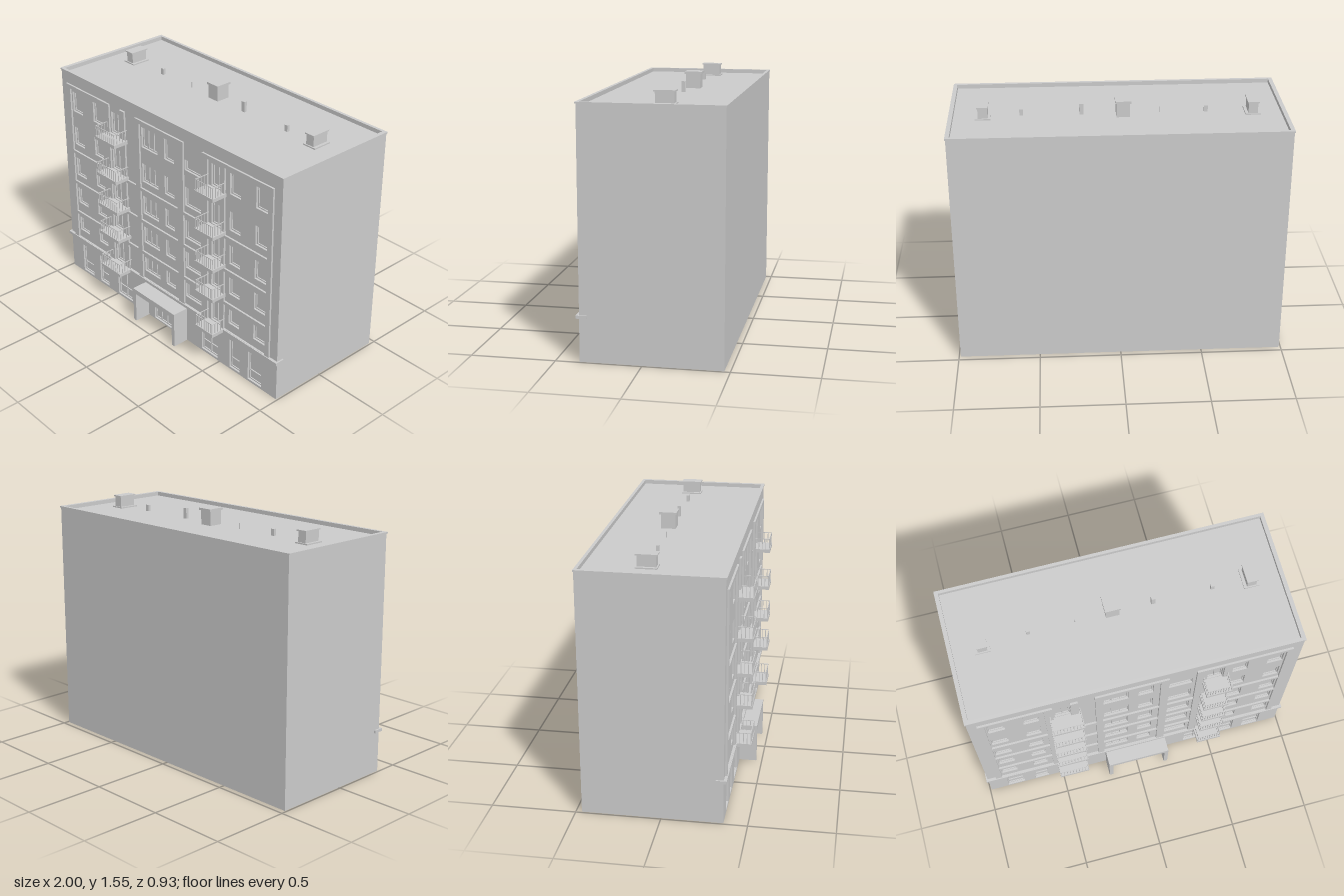
import * as THREE from 'three';

const material = new THREE.MeshStandardMaterial({ color: 0xcccccc, flatShading: true });

function add(parent, name, geometry) {
  const mesh = new THREE.Mesh(geometry, material);
  mesh.name = name;
  parent.add(mesh);
  return mesh;
}

// Box given by its limits on each axis
function box(parent, name, [x0, x1], [y0, y1], [z0, z1]) {
  const mesh = add(parent, name, new THREE.BoxGeometry(x1 - x0, y1 - y0, z1 - z0));
  mesh.position.set((x0 + x1) / 2, (y0 + y1) / 2, (z0 + z1) / 2);
  return mesh;
}

function rectPath(path, [x0, x1, y0, y1]) {
  path.moveTo(x0, y0);
  path.lineTo(x1, y0);
  path.lineTo(x1, y1);
  path.lineTo(x0, y1);
  path.closePath();
  return path;
}

// Upright rectangular plate with rectangular holes, rects are [x0, x1, y0, y1]
function plate(parent, name, rect, holes, z0, z1) {
  const shape = rectPath(new THREE.Shape(), rect);
  shape.holes = holes.map((h) => rectPath(new THREE.Path(), h));
  const geometry = new THREE.ExtrudeGeometry(shape, { depth: z1 - z0, bevelEnabled: false });
  geometry.translate(0, 0, z0);
  return add(parent, name, geometry);
}

// Depths of the facade layers
const GLASS = 0.34, WALL = 0.36, RAISED = 0.372;

// Window sills and heads, balcony slab tops and panel rows, from the lowest floor up
const windowRows = [[0.33, 0.43], [0.54, 0.655], [0.75, 0.875], [0.975, 1.1], [1.21, 1.345]];
const slabTops = [0.275, 0.525, 0.73, 0.95, 1.2];
const panelRows = [[0.275, 0.455], [0.475, 0.685], [0.705, 0.91], [0.93, 1.365]];
const balconies = [
  { x: [-0.525, -0.335], door: [-0.49, -0.4] },
  { x: [0.395, 0.55], door: [0.425, 0.515] },
];

function listOpenings() {
  const openings = [];
  const columns = [
    [-0.885, -0.785, 0], [-0.675, -0.585, 0], [-0.2, -0.05, 2], [0.01, 0.1, 0],
    [0.195, 0.335, 1], [0.58, 0.67, 0], [0.79, 0.885, 0],
  ];
  windowRows.forEach(([y0, y1], floor) => {
    for (const [x0, x1, bars] of columns) {
      const head = floor === 4 && bars === 1 ? 1.28 : y1;
      openings.push({ rect: [x0, x1, y0, head], bars: bars === 2 ? 2 : 0 });
    }
    for (const { door } of balconies) {
      openings.push({ rect: [...door, slabTops[floor] + 0.005, y1], bars: 1 });
    }
  });
  // Shop windows and entrance
  const ground = [
    [-0.87, -0.76], [-0.685, -0.595], [-0.49, -0.345],
    [0.34, 0.485], [0.59, 0.68], [0.75, 0.865],
  ];
  for (const [x0, x1] of ground) {
    openings.push({ rect: [x0, x1, 0.015, 0.215], bars: x1 - x0 > 0.13 ? 1 : 0, transom: 0.08 });
  }
  openings.push({ rect: [-0.115, 0.1, 0.008, 0.195], bars: 3 });
  return openings;
}

function buildWindow({ rect: [x0, x1, y0, y1], bars, transom }) {
  const group = new THREE.Group();
  group.name = 'windowFrame';
  const t = 0.007, z = GLASS + 0.007;
  plate(group, 'frame', [x0, x1, y0, y1], [[x0 + t, x1 - t, y0 + t, y1 - t]], GLASS - 0.001, z);
  for (let i = 1; i <= bars; i++) {
    const x = x0 + ((x1 - x0) * i) / (bars + 1);
    box(group, 'mullion', [x - 0.003, x + 0.003], [y0 + t, y1 - t], [GLASS - 0.001, z]);
  }
  if (transom) box(group, 'transom', [x0 + t, x1 - t], [transom - 0.003, transom + 0.003], [GLASS - 0.001, z]);
  return group;
}

function buildBalcony([x0, x1], top) {
  const group = new THREE.Group();
  group.name = 'balcony';
  const front = 0.46, rail = top + 0.07, r = 0.002;
  box(group, 'slab', [x0, x1], [top - 0.022, top], [WALL, 0.465]);
  const bar = (x, z) => box(group, 'baluster', [x - r, x + r], [top, rail], [z - r, z + r]);
  const left = x0 + 0.006, right = x1 - 0.006;
  const count = 9;
  for (let i = 0; i <= count; i++) bar(left + ((right - left) * i) / count, front);
  for (const x of [left, right]) {
    for (let i = 0; i < 4; i++) bar(x, 0.372 + i * 0.022);
    box(group, 'sideRail', [x - r, x + r], [rail - 0.004, rail], [WALL, front]);
  }
  box(group, 'frontRail', [left, right], [rail - 0.004, rail], [front - r, front + r]);
  return group;
}

// Flat ring around the roof
function roofRing(parent, name, outer, inner, y0, y1) {
  const mesh = plate(parent, name, outer, [inner], y0, y1);
  mesh.geometry.rotateX(-Math.PI / 2);
}

function buildRoof() {
  const roof = new THREE.Group();
  roof.name = 'roof';
  // Ring rects are [x0, x1, -z0, -z1]
  roofRing(roof, 'parapet', [-0.99, 0.99, -0.36, 0.465], [-0.97, 0.97, -0.345, 0.45], 1.45, 1.465);
  roofRing(roof, 'coping', [-0.995, 0.995, -0.366, 0.469], [-0.97, 0.97, -0.345, 0.45], 1.465, 1.475);
  // Stair head in the middle
  box(roof, 'stairHead', [-0.07, 0.01], [1.45, 1.538], [-0.155, -0.065]);
  box(roof, 'stairHeadCap', [-0.077, 0.017], [1.538, 1.552], [-0.165, -0.058]);
  // Ventilation housings near both ends
  for (const x of [-0.8, 0.795]) {
    box(roof, 'ventBase', [x - 0.046, x + 0.046], [1.45, 1.458], [-0.16, -0.035]);
    box(roof, 'ventHousing', [x - 0.028, x + 0.028], [1.458, 1.522], [-0.152, -0.043]);
    box(roof, 'ventCap', [x - 0.034, x + 0.034], [1.522, 1.53], [-0.16, -0.035]);
  }
  // Small flues
  for (const [x, w, top] of [[-0.525, 0.011, 1.49], [0.215, 0.012, 1.515], [0.57, 0.011, 1.49], [-0.25, 0.003, 1.485]]) {
    box(roof, 'flue', [x - w, x + w], [1.45, top], [-0.09 - w * 0.8, -0.09 + w * 0.8]);
  }
  return roof;
}

function buildRaisedFrames() {
  const group = new THREE.Group();
  group.name = 'raisedFrames';
  const y0 = 0.265, top = 1.39;
  const panels = (x0, x1) => panelRows.map(([a, b]) => [x0, x1, a, b]);
  plate(group, 'leftFrame', [-0.935, -0.5, y0, top], panels(-0.895, -0.55), WALL, RAISED);
  plate(group, 'balconyPier', [-0.395, -0.35, y0, top], [], WALL, RAISED);
  plate(group, 'middleFrame', [-0.25, 0.19, y0, top], panels(-0.21, 0.14), WALL, RAISED);
  plate(group, 'rightFrame', [0.355, 0.93, y0, top],
    [...panels(0.545, 0.895), [0.4, 0.52, 0.275, 1.365]], WALL, RAISED);
  // Floor bands between the frames
  for (let i = 0; i < 3; i++) {
    const y = [panelRows[i][1], panelRows[i + 1][0]];
    box(group, 'floorBand', [-0.35, -0.25], y, [WALL, RAISED]);
    box(group, 'floorBand', [0.19, 0.355], y, [WALL, RAISED]);
  }
  return group;
}

export function createModel() {
  const model = new THREE.Group();
  model.name = 'apartmentBuilding';

  // Main block and front wall with its openings
  const openings = listOpenings();
  box(model, 'body', [-0.99, 0.99], [0, 1.45], [-0.465, GLASS]);
  plate(model, 'frontWall', [-0.99, 0.99, 0, 1.45], openings.map((o) => o.rect), GLASS, WALL);
  openings.forEach((o) => model.add(buildWindow(o)));
  model.add(buildRaisedFrames());

  // Ledge above the ground floor
  box(model, 'ledge', [-1, 1], [0.256, 0.274], [0.315, 0.378]);

  for (const { x } of balconies) {
    for (const top of slabTops) model.add(buildBalcony(x, top));
  }

  // Entrance porch
  const porch = new THREE.Group();
  porch.name = 'porch';
  box(porch, 'porchRoof', [-0.2, 0.2], [0.205, 0.238], [WALL, 0.465]);
  for (const s of [-1, 1]) {
    box(porch, 'porchWall', s < 0 ? [-0.2, -0.175] : [0.175, 0.2], [0, 0.205], [WALL, 0.465]);
  }
  model.add(porch);

  model.add(buildRoof());
  return model;
}
